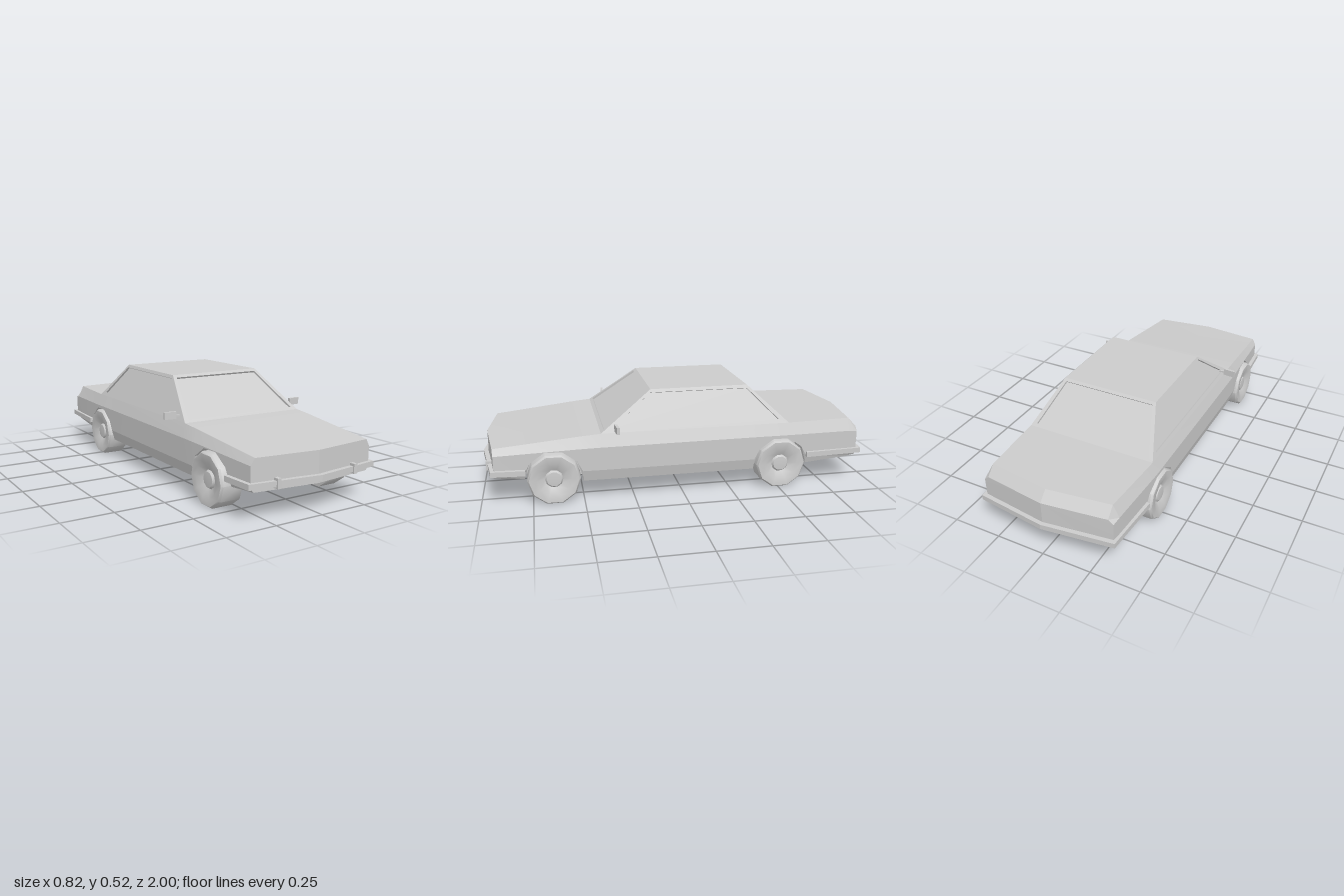
import * as THREE from 'three';
import { toCreasedNormals } from 'three/addons/utils/BufferGeometryUtils.js';

const material = new THREE.MeshStandardMaterial({ color: 0xcccccc });
const WHEEL_Z = [0.645, -0.51];
const WHEEL_Y = 0.124, WHEEL_R = 0.13, ARCH_R = 0.141;

function add(parent, name, geometry) {
  const mesh = new THREE.Mesh(geometry, material);
  mesh.name = name;
  parent.add(mesh);
  return mesh;
}

// Flat list of quads and triangles turned into a geometry with sharp edges
function fromFaces(faces, crease) {
  const pos = [];
  const push = (a, b, c) => {
    const area = new THREE.Vector3().subVectors(b, a).cross(new THREE.Vector3().subVectors(c, a)).length();
    if (area > 1e-9) for (const p of [a, b, c]) pos.push(p.x, p.y, p.z);
  };
  for (const f of faces) for (let i = 1; i < f.length - 1; i++) push(f[0], f[i], f[i + 1]);
  const g = new THREE.BufferGeometry();
  g.setAttribute('position', new THREE.Float32BufferAttribute(pos, 3));
  return toCreasedNormals(g, crease);
}

// Body widths and heights along z:
// z, topY, topX, beltY, beltX, lowX, bottomX, floorY
const KEYS = [
  [0.93, 0.283, 0.315, 0.25, 0.335, 0.335, 0.32, 0.135],
  [0.505, 0.327, 0.334, 0.27, 0.36, 0.358, 0.343, 0.10],
  [0.41, 0.335, 0.338, 0.272, 0.362, 0.36, 0.345, 0.10],
  [-0.37, 0.335, 0.338, 0.275, 0.362, 0.36, 0.345, 0.10],
  [-0.555, 0.335, 0.338, 0.275, 0.362, 0.36, 0.345, 0.104],
  [-0.89, 0.335, 0.315, 0.272, 0.345, 0.343, 0.33, 0.13],
  [-0.935, 0.287, 0.315, 0.265, 0.34, 0.338, 0.325, 0.135],
];

function keyAt(z) {
  let i = 0;
  while (i < KEYS.length - 2 && z < KEYS[i + 1][0]) i++;
  const t = (z - KEYS[i][0]) / (KEYS[i + 1][0] - KEYS[i][0]);
  return KEYS[i].map((v, k) => THREE.MathUtils.lerp(v, KEYS[i + 1][k], t));
}

// One closed ring; arch lifts the lower edge over a wheel, bow points the ends
function section({ z, arch = 0, bow = 0 }) {
  const [, topY, topX, beltY, beltX, lowX, botX, floorY] = keyAt(z);
  const edge = Math.max(floorY, arch);
  const lowY = Math.max(0.155, edge);
  const sideX = y => (y >= 0.155
    ? THREE.MathUtils.mapLinear(y, 0.155, beltY, lowX, beltX)
    : THREE.MathUtils.mapLinear(y, floorY, 0.155, botX, lowX));
  const half = [[0, topY], [topX, topY], [beltX, beltY], [sideX(lowY), lowY],
    [sideX(edge), edge], [0.25, edge], [0.25, floorY], [0, floorY]];
  const ring = [...half, ...half.slice(1, -1).reverse().map(([x, y]) => [-x, y])];
  return ring.map(([x, y]) => new THREE.Vector3(x, y, z + bow * Math.max(0, 1 - Math.abs(x) / 0.335)));
}

function bodyGeometry() {
  const stations = KEYS.map(k => ({ z: k[0] })).filter(s => !WHEEL_Z.some(w => Math.abs(s.z - w) <= ARCH_R));
  stations[0].bow = 0.04;
  stations.at(-1).bow = stations.at(-2).bow = -0.045;
  for (const w of WHEEL_Z) {
    stations.push({ z: w + ARCH_R });
    for (let i = 0; i <= 5; i++) {
      const a = i * Math.PI / 5;
      stations.push({ z: w + ARCH_R * Math.cos(a), arch: WHEEL_Y + ARCH_R * Math.sin(a) });
    }
    stations.push({ z: w - ARCH_R });
  }
  // Equal depths keep their order, so the arch ends step straight up and down
  stations.sort((a, b) => (Math.abs(a.z - b.z) < 1e-6 ? 0 : b.z - a.z));
  const rings = stations.map(section), n = rings[0].length, faces = [];
  for (let i = 0; i < rings.length - 1; i++) {
    for (let j = 0; j < n; j++) {
      const k = (j + 1) % n;
      faces.push([rings[i][j], rings[i][k], rings[i + 1][k], rings[i + 1][j]]);
    }
  }
  for (let j = 1; j < n - 1; j++) {
    const f = rings[0], r = rings.at(-1);
    faces.push([f[0], f[j + 1], f[j]], [r[0], r[j], r[j + 1]]);
  }
  return fromFaces(faces, 0.15);
}

// Frame with a recessed pane; corners run anticlockwise from lower left
function windowPanel(parent, name, c, u, v0, v1, depth) {
  const at = (s, t) => c[0].clone().lerp(c[1], s).lerp(c[3].clone().lerp(c[2], s), t);
  const inner = [at(u, v0), at(1 - u, v0), at(1 - u, v1), at(u, v1)];
  const inward = c[1].clone().sub(c[0]).cross(c[3].clone().sub(c[0])).normalize().multiplyScalar(-depth);
  const pane = inner.map(p => p.clone().add(inward));
  const frame = [];
  for (let i = 0; i < 4; i++) {
    const k = (i + 1) % 4;
    frame.push([c[i], c[k], inner[k], inner[i]], [inner[i], inner[k], pane[k], pane[i]]);
  }
  add(parent, name + 'Frame', fromFaces(frame, 0.1));
  add(parent, name, fromFaces([pane], 0.1));
}

function cabin() {
  const group = new THREE.Group();
  group.name = 'cabin';
  const V = (x, y, z) => new THREE.Vector3(x, y, z);
  const base = [V(-0.338, 0.335, 0.41), V(0.338, 0.335, 0.41), V(0.338, 0.335, -0.555), V(-0.338, 0.335, -0.555)];
  const roof = [V(-0.253, 0.525, 0.15), V(0.253, 0.525, 0.15), V(0.253, 0.525, -0.35), V(-0.253, 0.525, -0.35)];
  add(group, 'roof', fromFaces([roof], 0.1));
  ['windshield', 'leftWindow', 'rearWindow', 'rightWindow'].forEach((name, i) => {
    const k = (i + 1) % 4, side = i % 2;
    windowPanel(group, name, [base[i], base[k], roof[k], roof[i]],
      0.035, side ? 0.1 : 0.06, side ? 0.92 : 0.94, 0.01);
  });
  return group;
}

// Pointed bumper strip that wraps round the corners
function bumper(name, ends, corner, tip, sign) {
  const t = 0.022;
  const outer = [[-ends[0], ends[1]], [-corner[0], corner[1]], [0, tip], corner, ends];
  const inner = [[ends[0] - t, ends[1]], [corner[0] - t, corner[1] - t], [0, tip - t],
    [t - corner[0], corner[1] - t], [t - ends[0], ends[1]]];
  const shape = new THREE.Shape([...outer, ...inner].map(([x, z]) => new THREE.Vector2(x, -z * sign)));
  const g = new THREE.ExtrudeGeometry(shape, { depth: 0.026, bevelEnabled: false });
  g.rotateX(-Math.PI / 2).translate(0, 0.152, 0);
  const mesh = new THREE.Mesh(g, material);
  mesh.name = name;
  return mesh;
}

// Ten-sided tyre with a dished rim and a raised hub
function wheelGeometry() {
  const profile = [[0, 0.26], [WHEEL_R, 0.26], [WHEEL_R, 0.362], [0.122, 0.372], [0.085, 0.37],
    [0.045, 0.35], [0.037, 0.36], [0, 0.363]].map(p => new THREE.Vector2(...p));
  return toCreasedNormals(new THREE.LatheGeometry(profile, 10), 0.68);
}

export function createModel() {
  const car = new THREE.Group();
  car.name = 'car';
  add(car, 'body', bodyGeometry());
  car.add(cabin());
  car.add(bumper('frontBumper', [0.364, 0.78], [0.354, 0.945], 0.995, 1));
  car.add(bumper('rearBumper', [0.372, 0.65], [0.354, 0.955], 1.0, -1));

  const wheel = wheelGeometry();
  for (const s of [1, -1]) {
    const side = s > 0 ? 'left' : 'right';
    WHEEL_Z.forEach((z, i) => {
      const w = add(car, side + (i ? 'Rear' : 'Front') + 'Wheel', wheel);
      w.rotation.z = -s * Math.PI / 2;
      w.position.set(0, WHEEL_Y, z);
    });

    // Bumper guard
    add(car, side + 'BumperGuard', new THREE.BoxGeometry(0.018, 0.046, 0.03)).position.set(s * 0.215, 0.167, 0.957);

    // Door mirror on a short stem
    const mirror = add(car, side + 'Mirror', new THREE.BoxGeometry(0.062, 0.035, 0.014));
    mirror.position.set(s * 0.376, 0.363, 0.335);
    mirror.rotation.y = s * 0.1;
    add(car, side + 'MirrorStem', new THREE.BoxGeometry(0.035, 0.008, 0.01)).position.set(s * 0.333, 0.36, 0.338);
  }
  return car;
}
